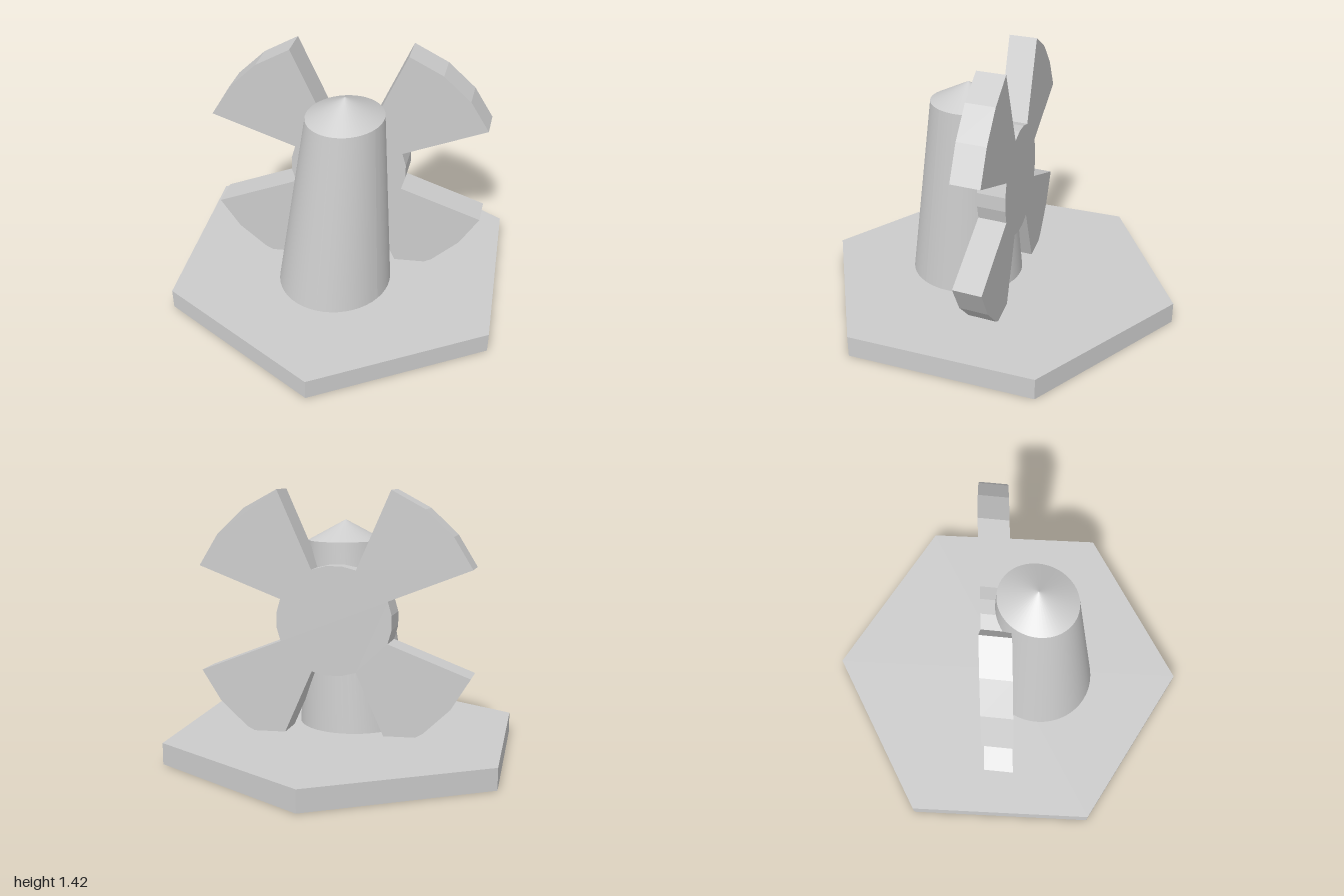
import * as THREE from 'three';

export function createModel() {
  const group = new THREE.Group();
  const add = (name, geometry, flatShading = false) => {
    const material = new THREE.MeshStandardMaterial({ color: 0xcccccc, flatShading });
    const mesh = new THREE.Mesh(geometry, material);
    mesh.name = name;
    group.add(mesh);
    return mesh;
  };

  // Six-sided base slab
  const baseHeight = 0.115;
  const base = new THREE.CylinderGeometry(1, 1, baseHeight, 6);
  base.rotateY(-0.008).translate(0, baseHeight / 2, 0);
  add('base', base, true);

  // Tapered tower, leaning slightly: centre and radii change linearly with height
  const bottom = { x: -0.17, z: 0.08, rx: 0.315, rz: 0.305 };
  const top = { x: -0.115, z: 0.105, rx: 0.215, rz: 0.195 };
  const towerTop = 1.14;
  const tower = new THREE.CylinderGeometry(1, 1, towerTop - baseHeight, 48, 1);
  tower.translate(0, (towerTop + baseHeight) / 2, 0);
  const p = tower.attributes.position;
  for (let i = 0; i < p.count; i++) {
    const t = (p.getY(i) - baseHeight) / (towerTop - baseHeight);
    const mix = (key) => THREE.MathUtils.lerp(bottom[key], top[key], t);
    p.setX(i, mix('x') + p.getX(i) * mix('rx'));
    p.setZ(i, mix('z') + p.getZ(i) * mix('rz'));
  }
  tower.computeVertexNormals();
  add('tower', tower);

  // Shallow conical roof
  const roofHeight = 0.11;
  const roof = new THREE.ConeGeometry(1, roofHeight, 48, 1, true);
  roof.scale(top.rx, 1, top.rz).translate(top.x, towerTop + roofHeight / 2, top.z);
  add('roof', roof);

  // Four sails and hub cut from one plate: alternate 45 degree arcs, 15 degree facets
  const points = [];
  for (let sector = 0; sector < 8; sector++) {
    const radius = sector % 2 === 0 ? 0.785 : 0.311;
    for (let step = 0; step <= 3; step++) {
      const a = THREE.MathUtils.degToRad(22.5 + sector * 45 + step * 15);
      points.push(new THREE.Vector2(Math.cos(a) * radius, Math.sin(a) * radius));
    }
  }
  const sails = new THREE.ExtrudeGeometry(new THREE.Shape(points), { depth: 1, bevelEnabled: false });
  sails.translate(0, 0, -0.5);
  // Stand the plate diagonally beside the tower, with slightly skewed thickness
  const placement = new THREE.Matrix4().makeBasis(
    new THREE.Vector3(0.551, 0, 0.835),
    new THREE.Vector3(0, 0.952, 0),
    new THREE.Vector3(-0.14, 0, 0.07)
  );
  sails.applyMatrix4(placement.setPosition(0.07, 0.73, -0.005));
  add('sails', sails, true);

  return group;
}
